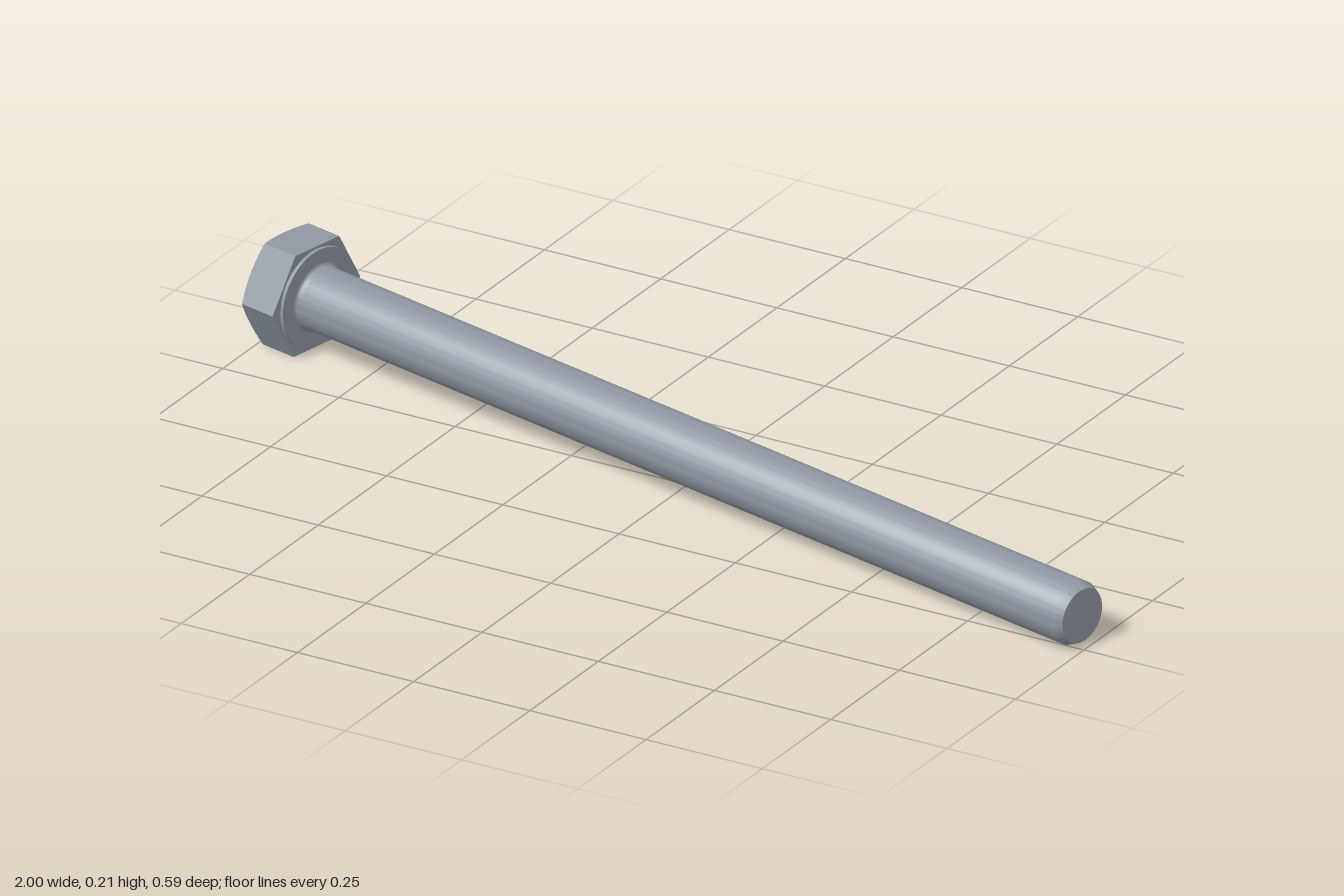
import * as THREE from 'three';
import { toCreasedNormals } from 'three/addons/utils/BufferGeometryUtils.js';

const APOTHEM = 0.104, CORNER = APOTHEM / Math.cos(Math.PI / 6);
const HEAD_HEIGHT = 0.102, DOME_DROP = 0.025;
const SHAFT_R = 0.0625, LENGTH = 1.929;

// Hexagon radius at an angle, flats centred on multiples of 60 degrees
function hexRadius(phi) {
  const sector = Math.PI / 3;
  return APOTHEM / Math.cos(phi - Math.round(phi / sector) * sector);
}

// Hex prism with a shallow dome on its far end, underside at y = 0
function hexHeadGeometry() {
  const columns = 72, domeRows = 10, rows = domeRows + 2;
  const positions = [], index = [];
  for (let i = 0; i <= rows; i++) {
    for (let j = 0; j <= columns; j++) {
      const phi = (j / columns) * Math.PI * 2;
      const scale = i <= domeRows ? i / domeRows : rows - i;
      const r = hexRadius(phi) * scale;
      const y = i <= domeRows ? -HEAD_HEIGHT + DOME_DROP * (r / CORNER) ** 2 : 0;
      positions.push(r * Math.cos(phi), y, r * Math.sin(phi));
    }
  }
  for (let i = 0; i < rows; i++) {
    for (let j = 0; j < columns; j++) {
      const a = i * (columns + 1) + j, b = a + columns + 1;
      if (i < rows - 1) index.push(a, b, b + 1);
      if (i > 0) index.push(a, b + 1, a + 1);
    }
  }
  const geometry = new THREE.BufferGeometry();
  geometry.setAttribute('position', new THREE.Float32BufferAttribute(positions, 3));
  geometry.setIndex(index);
  return toCreasedNormals(geometry, 0.5);
}

function turned(profile) {
  const points = profile.map(([r, y]) => new THREE.Vector2(r, y));
  return toCreasedNormals(new THREE.LatheGeometry(points, 64), 0.5);
}

export function createModel() {
  const steel = new THREE.MeshStandardMaterial({ color: 0x8f98a2 });
  steel.name = 'steel grey';

  const bolt = new THREE.Group();
  bolt.name = 'bolt';
  const add = (name, geometry) => {
    const mesh = new THREE.Mesh(geometry, steel);
    mesh.name = name;
    bolt.add(mesh);
  };

  add('hexHead', hexHeadGeometry());

  // Thin bearing disc under the head
  add('washerFace', turned([[0.099, -0.002], [0.099, 0.007], [0, 0.007]]));

  // Shaft with a small fillet at the head and a chamfered tip
  add('shaft', turned([
    [0.069, 0.007], [0.0655, 0.009], [0.0633, 0.013], [SHAFT_R, 0.019],
    [SHAFT_R, LENGTH - 0.018], [0.054, LENGTH], [0, LENGTH],
  ]));

  // Lay the bolt down, resting on the head and the tip
  bolt.rotation.set(0, -0.211, -Math.PI / 2 - 0.022, 'YZX');
  bolt.position.set(-0.897, 0.107, -0.167);

  const model = new THREE.Group();
  model.name = 'hexBolt';
  model.add(bolt);
  return model;
}
